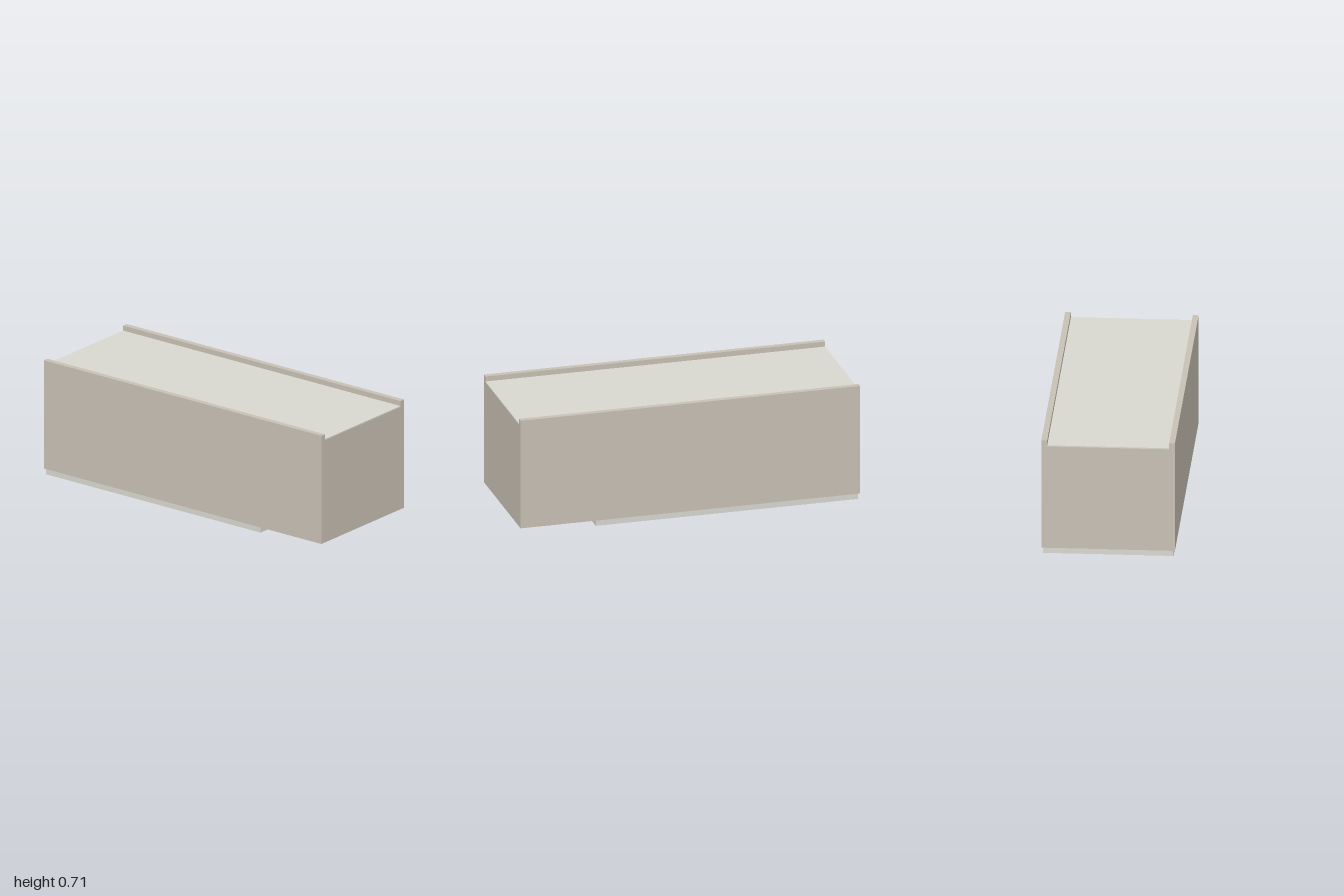
import * as THREE from 'three';

const wallMat = new THREE.MeshStandardMaterial({ color: 0xc8c0b4 });
const panelMat = new THREE.MeshStandardMaterial({ color: 0xd8d8d0 });
const handleMat = new THREE.MeshStandardMaterial({ color: 0x77777c });

// Box given by its minimum and maximum corners
function slab(name, material, [x0, y0, z0], [x1, y1, z1]) {
  const mesh = new THREE.Mesh(new THREE.BoxGeometry(x1 - x0, y1 - y0, z1 - z0), material);
  mesh.name = name;
  mesh.position.set((x0 + x1) / 2, (y0 + y1) / 2, (z0 + z1) / 2);
  return mesh;
}

export function createModel() {
  const model = new THREE.Group();
  model.name = 'slidingLidBox';

  const halfW = 0.379, halfL = 1, wall = 0.033;
  const bottom = 0.062, top = 0.715, panelTop = 0.685, panelBottom = 0.678;
  const innerW = halfW - wall;

  // Long side walls, standing above the top panel as rails
  model.add(
    slab('leftWall', wallMat, [innerW, bottom, -halfL], [halfW, top, halfL]),
    slab('rightWall', wallMat, [-halfW, bottom, -halfL], [-innerW, top, halfL]),
  );

  // End walls between the sides
  model.add(
    slab('frontWall', wallMat, [-innerW, bottom, halfL - wall], [innerW, panelBottom, halfL]),
    slab('backWall', wallMat, [-innerW, bottom, -halfL], [innerW, panelBottom, -halfL + wall]),
  );

  // Thin panel closing the top
  model.add(slab('topPanel', panelMat, [-innerW, panelBottom, -halfL], [innerW, panelTop, halfL]));

  // Lid under the open side, leaving the front part open
  model.add(slab('slidingLid', panelMat, [-0.371, 0.027, -0.99], [0.371, bottom, 0.555]));

  // Grip bar on the lid
  model.add(slab('lidHandle', handleMat, [-0.105, 0, 0.385], [0.105, 0.027, 0.415]));

  return model;
}
